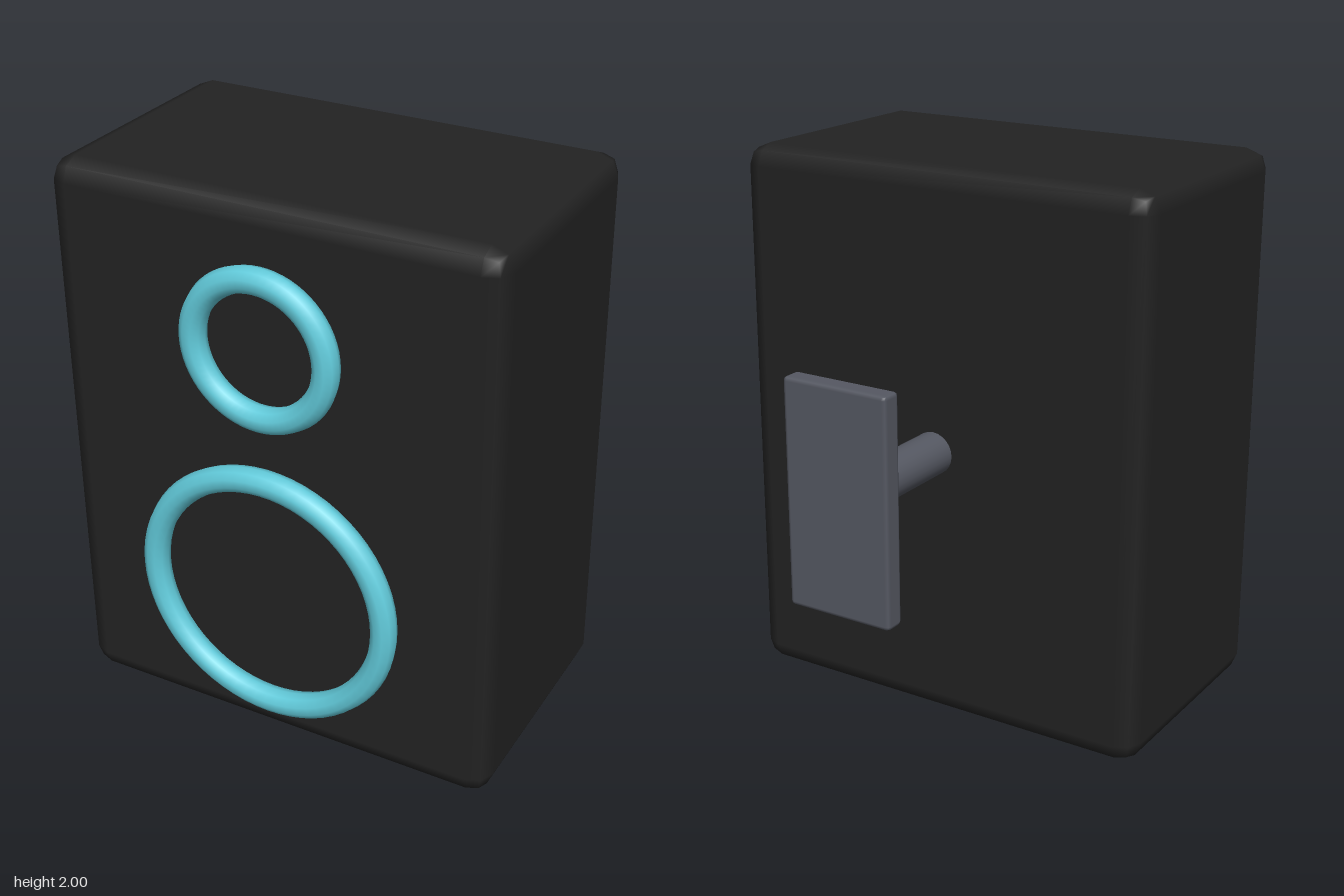
import * as THREE from 'three';
import { RoundedBoxGeometry } from 'three/addons/geometries/RoundedBoxGeometry.js';

const material = (name, color) => {
  const m = new THREE.MeshStandardMaterial({ color });
  m.name = name;
  return m;
};

export function createModel() {
  const group = new THREE.Group();
  group.name = 'wallSpeaker';
  const black = material('cabinet black', 0x222222);
  const cyan = material('ring cyan', 0x62cbdb);
  const grey = material('bracket grey', 0x555862);

  const add = (name, geometry, mat, x, y, z) => {
    const mesh = new THREE.Mesh(geometry, mat);
    mesh.name = name;
    mesh.position.set(x, y, z);
    group.add(mesh);
    return mesh;
  };

  // Cabinet with softly bevelled edges
  add('cabinet', new RoundedBoxGeometry(1.6, 2, 0.95, 1, 0.075), black, 0, 1, 0.243);

  // Driver rings, half sunk into the front
  for (const [name, radius, y] of [['tweeterRing', 0.24, 1.525], ['wooferRing', 0.44, 0.605]]) {
    add(name, new THREE.TorusGeometry(radius, 0.045, 10, 64), cyan, 0, y, 0.75);
  }

  // Wall bracket: arm and mounting plate
  const arm = add('bracketArm', new THREE.CylinderGeometry(0.076, 0.076, 0.56, 24), grey, 0, 1.005, -0.48);
  arm.rotation.x = Math.PI / 2;
  add('wallPlate', new RoundedBoxGeometry(0.4, 0.8, 0.077, 1, 0.015), grey, 0, 1.003, -0.757);

  return group;
}
